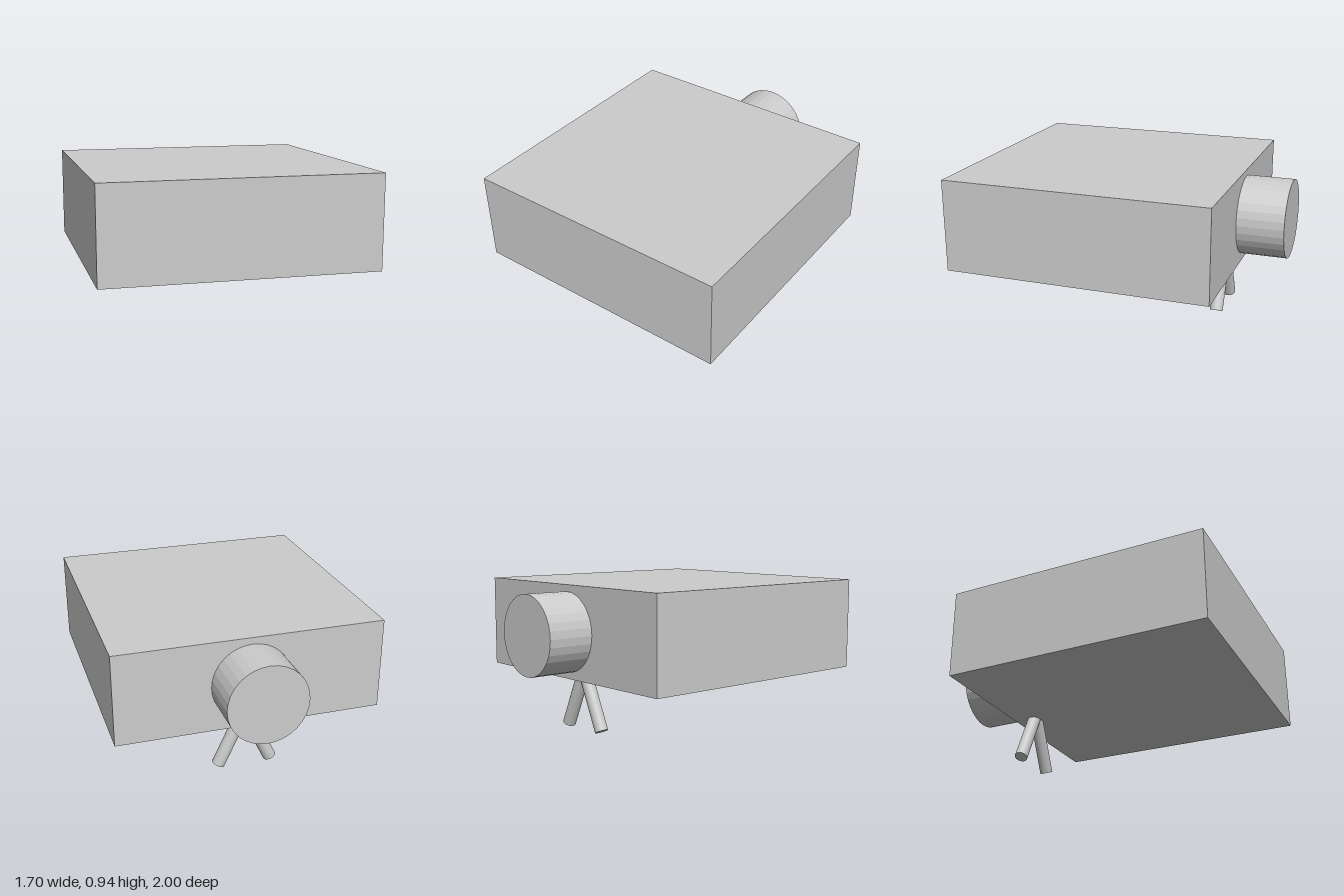
import * as THREE from 'three';

export function createModel() {
  const model = new THREE.Group();
  const material = new THREE.MeshStandardMaterial({ color: 0xcccccc, flatShading: true });

  const add = (name, geometry, x, y, z) => {
    const mesh = new THREE.Mesh(geometry, material);
    mesh.name = name;
    mesh.position.set(x, y, z);
    model.add(mesh);
    return mesh;
  };

  // Wide slab body
  add('body', new THREE.BoxGeometry(1.7, 0.59, 1.7), 0, 0.64, 0.15);

  // Round drum on the back face
  const drum = add('rearDrum', new THREE.CylinderGeometry(0.253, 0.253, 0.3, 32), 0, 0.64, -0.85);
  drum.rotation.x = Math.PI / 2;

  // Two splayed legs under the rear, meeting inside the body
  const tilt = THREE.MathUtils.degToRad(25);
  const radius = 0.042;
  const length = 0.4;
  const footX = 0.172;
  const footY = radius * Math.sin(tilt);
  for (const [name, side] of [['leftLeg', 1], ['rightLeg', -1]]) {
    const leg = add(
      name,
      new THREE.CylinderGeometry(radius, radius, length, 32),
      side * (footX - Math.sin(tilt) * length / 2),
      footY + Math.cos(tilt) * length / 2,
      -0.57
    );
    leg.rotation.z = side * tilt;
  }

  return model;
}
